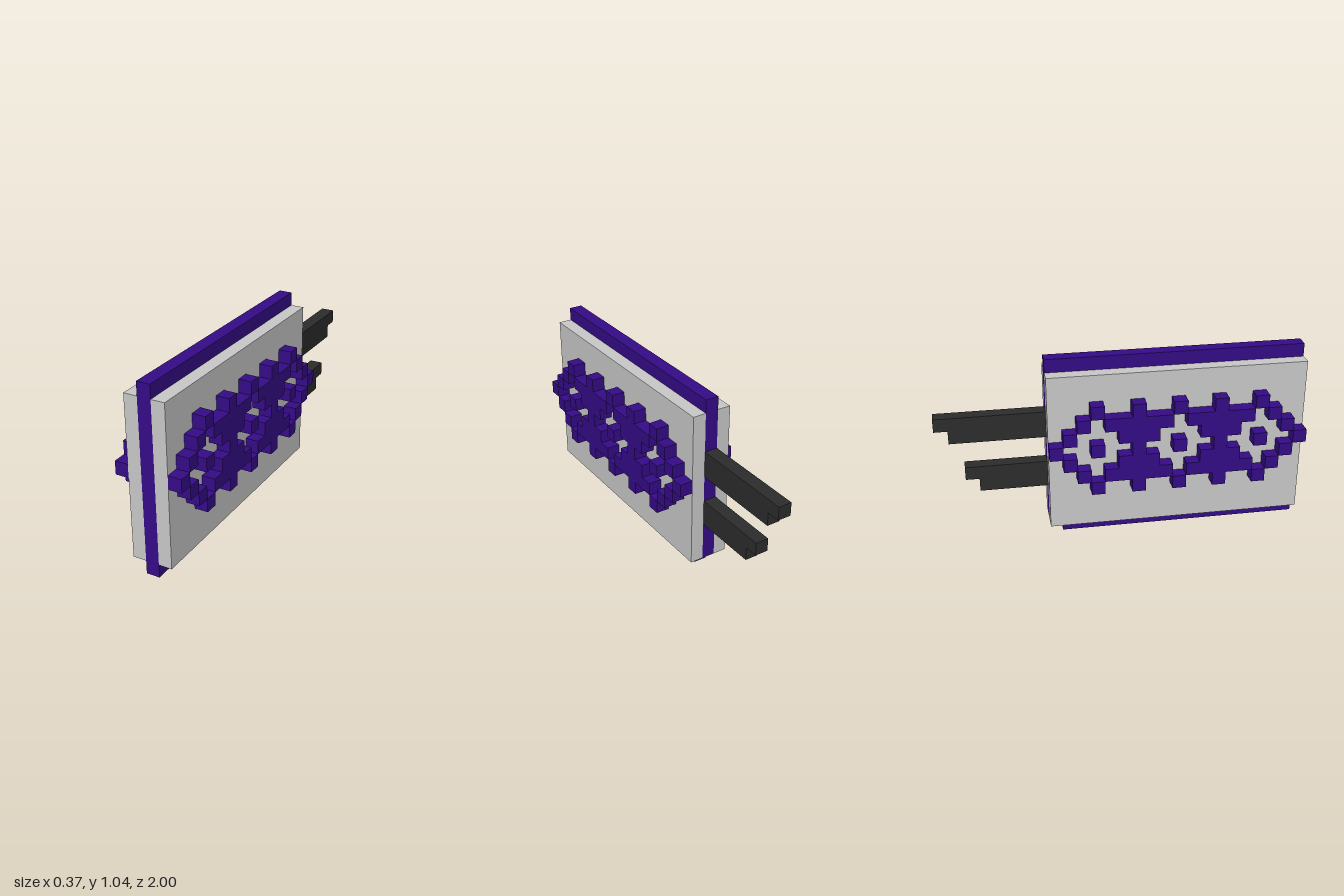
import * as THREE from 'three';

const U = 2 / 27; // one block

const purple = new THREE.MeshStandardMaterial({ color: 0x350c88 });
purple.name = 'purple';
const grey = new THREE.MeshStandardMaterial({ color: 0xcacaca });
grey.name = 'light grey';
const dark = new THREE.MeshStandardMaterial({ color: 0x2d2d2d });
dark.name = 'charcoal';

// Box in block units: x centre and width, rows up from the ground, columns back from the front
function block(name, material, x, width, row, rows, col, cols) {
  const mesh = new THREE.Mesh(new THREE.BoxGeometry(width * U, rows * U, cols * U), material);
  mesh.position.set(x * U, (row + rows / 2) * U, 1 - (col + cols / 2) * U);
  mesh.name = name;
  return mesh;
}

// Raised ornament, top row first, front column first
const half = [
  '...#..#..#..#..#...',
  '..#.#####.#####.#..',
  '.#...###...###...#.',
];
const pattern = [...half, '#..#..#..#..#..#..#', ...half.slice().reverse()];

export function createModel() {
  const model = new THREE.Group();
  model.name = 'panel';

  // Central slab, with its bottom strip one block shorter at the back
  model.add(block('coreSlab', purple, 0, 1, 1, 13, 0, 19));
  model.add(block('bottomStrip', purple, 0, 1, 0, 1, 0, 18));

  // Side panels with the ornament standing out from them
  for (const side of [-1, 1]) {
    const label = side > 0 ? 'left' : 'right';
    model.add(block(label + 'Panel', grey, side, 1, 1, 12, 0, 19));
    const ornament = new THREE.Group();
    ornament.name = label + 'Ornament';
    pattern.forEach((line, i) => {
      for (const run of line.matchAll(/#+/g)) {
        ornament.add(block('ornamentBlock', purple, side * 2, 1, 10 - i, 1, run.index, run[0].length));
      }
    });
    model.add(ornament);
  }

  // Stepped prongs at the back: lower row and the length of the upper row
  for (const [name, row, length] of [['upperProng', 8, 8], ['lowerProng', 4, 6]]) {
    const prong = new THREE.Group();
    prong.name = name;
    prong.add(block('prongTop', dark, 0, 1, row + 1, 1, 19, length));
    prong.add(block('prongBottom', dark, 0, 1, row, 1, 19, length - 1));
    model.add(prong);
  }
  return model;
}
